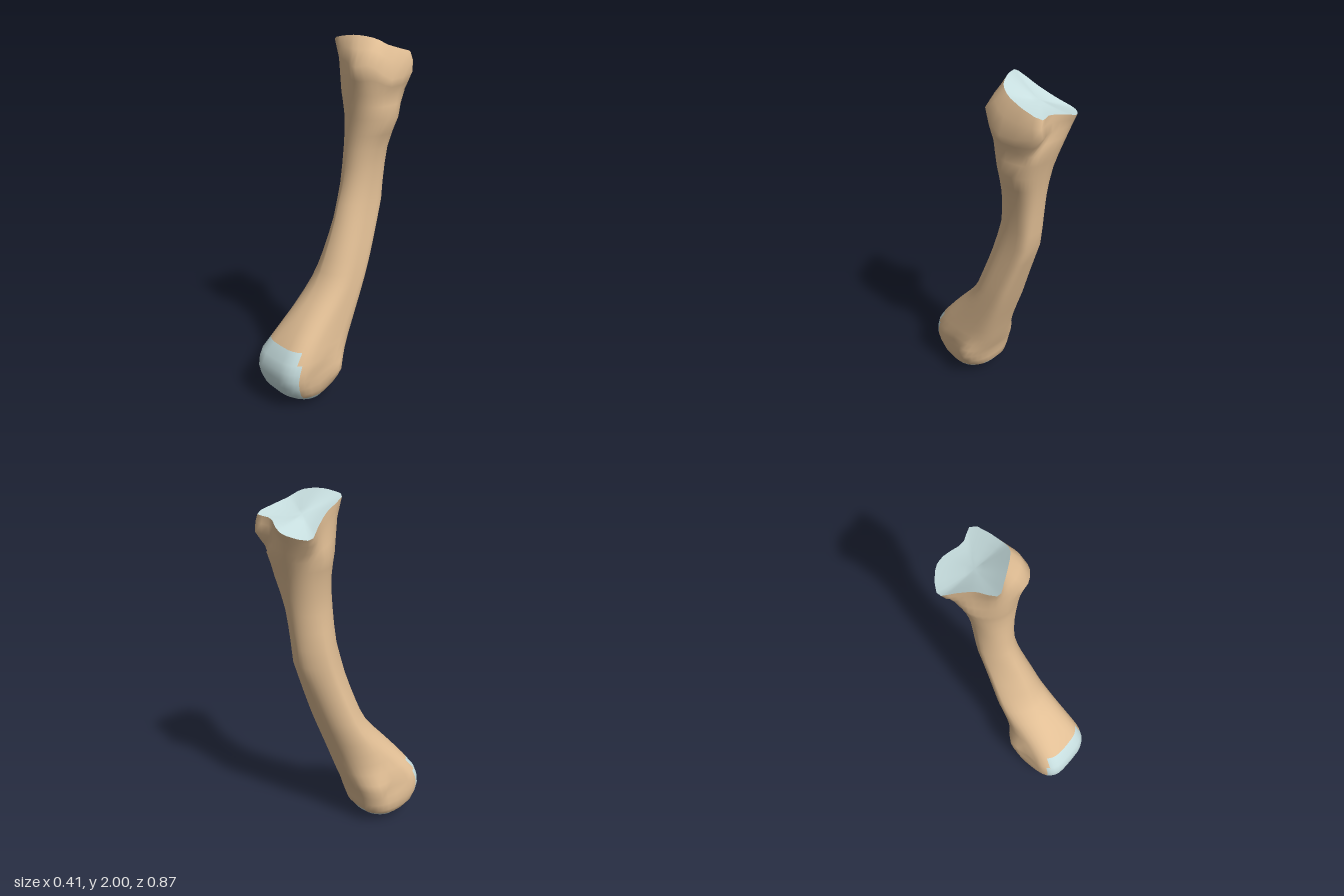
import * as THREE from 'three';

const COLS = 32;

// Shaft stations: y, xMin, xMax, zMin, zMax,
// then corner squareness at +x+z, -x+z, -x-z, +x-z
const STATIONS = [
  [0.012, -0.10, 0.06, 0.14, 0.28, 2.0, 2.0, 1.8, 1.8],
  [0.03, -0.15, 0.10, 0.11, 0.33, 2.1, 2.3, 1.9, 1.9],
  [0.06, -0.18, 0.125, 0.08, 0.37, 2.3, 2.7, 2.1, 2.1],
  [0.10, -0.20, 0.145, 0.05, 0.405, 2.8, 3.3, 2.6, 2.6],
  [0.20, -0.21, 0.165, 0.03, 0.437, 3.2, 3.9, 3.0, 3.0],
  [0.30, -0.20, 0.168, -0.01, 0.417, 3.2, 3.8, 2.6, 3.2],
  [0.37, -0.18, 0.16, -0.035, 0.37, 3.2, 3.2, 2.2, 3.4],
  [0.50, -0.16, 0.15, -0.08, 0.265, 2.6, 2.1, 2.0, 4.0],
  [0.66, -0.145, 0.14, -0.14, 0.13, 2.3, 1.6, 1.9, 4.5],
  [0.80, -0.13, 0.13, -0.19, 0.065, 2.2, 1.4, 1.8, 5.0],
  [1.00, -0.11, 0.11, -0.26, -0.01, 2.2, 1.4, 1.7, 5.0],
  [1.10, -0.105, 0.102, -0.295, -0.04, 2.2, 1.5, 1.6, 4.5],
  [1.20, -0.10, 0.10, -0.307, -0.07, 2.2, 1.7, 1.6, 4.0],
  [1.40, -0.085, 0.12, -0.33, -0.09, 2.2, 2.1, 1.9, 3.0],
  [1.57, -0.10, 0.17, -0.36, -0.092, 2.2, 2.0, 2.2, 3.2],
  [1.70, -0.13, 0.178, -0.395, -0.075, 2.5, 1.8, 2.5, 4.0],
];
const HEIGHTS = [0.012, 0.03, 0.06, 0.1, 0.15, 0.2, 0.25, 0.3, 0.365, 0.43, 0.5, 0.58, 0.66, 0.73,
  0.8, 0.9, 1, 1.1, 1.2, 1.3, 1.4, 1.48, 1.57, 1.64, 1.7];

// Base flare and joint rim, counted from +x round through +z
const FLARE = [[0.205, 1.78, -0.22], [0.17, 1.86, -0.09], [0.10, 1.85, -0.047], [0.02, 1.87, -0.065],
  [-0.055, 1.88, -0.085], [-0.095, 1.83, -0.17], [-0.135, 1.80, -0.25], [-0.168, 1.79, -0.32],
  [-0.09, 1.79, -0.40], [-0.03, 1.80, -0.405], [0.06, 1.80, -0.395], [0.155, 1.81, -0.432]];
const RIM = [[0.155, 1.95, -0.24], [0.13, 1.985, -0.17], [0.05, 2.0, -0.115], [-0.01, 1.995, -0.085],
  [-0.065, 1.98, -0.065], [-0.10, 1.92, -0.18], [-0.145, 1.87, -0.26], [-0.187, 1.83, -0.33],
  [-0.10, 1.85, -0.42], [-0.04, 1.87, -0.425], [0.06, 1.89, -0.395], [0.145, 1.90, -0.42]];

// Bumps and hollows on the sides: x side, y, z, spread, height
const BUMPS = [
  [1, 0.20, 0.10, 0.07, 0.038], [-1, 0.27, 0.10, 0.06, 0.015],
  [1, 0.22, 0.21, 0.06, -0.018], [-1, 0.24, 0.21, 0.06, -0.02],
  [1, 1.57, -0.26, 0.07, 0.015], [1, 1.66, -0.32, 0.05, -0.015],
];

// Smooth interpolation of the stations at height y
function stationAt(y) {
  let i = 0;
  while (i < STATIONS.length - 2 && STATIONS[i + 1][0] < y) i++;
  const s = (k) => STATIONS[THREE.MathUtils.clamp(k, 0, STATIONS.length - 1)];
  const [p, a, b, n] = [s(i - 1), s(i), s(i + 1), s(i + 2)];
  const h = b[0] - a[0], t = (y - a[0]) / h;
  return a.map((v, k) => {
    const m0 = (b[k] - p[k]) / (b[0] - p[0]) * h, m1 = (n[k] - v) / (n[0] - a[0]) * h;
    const t2 = t * t, t3 = t2 * t;
    return (2 * t3 - 3 * t2 + 1) * v + (t3 - 2 * t2 + t) * m0 + (3 * t2 - 2 * t3) * b[k] + (t3 - t2) * m1;
  });
}

function shaftRing(y) {
  const [, x0, x1, z0, z1, ...corners] = stationAt(y);
  return Array.from({ length: COLS }, (_, j) => {
    const a = j / COLS * Math.PI * 2, c = Math.cos(a), s = Math.sin(a);
    const e = 2 / corners[Math.floor(j / COLS * 4)];
    let x = (x0 + x1) / 2 + (x1 - x0) / 2 * Math.sign(c) * Math.abs(c) ** e;
    const z = (z0 + z1) / 2 + (z1 - z0) / 2 * Math.sign(s) * Math.abs(s) ** e;
    for (const [side, by, bz, r, h] of BUMPS) {
      const facing = Math.max(0, side * c);
      x += side * h * Math.sqrt(facing) * Math.exp(-((y - by) ** 2 + (z - bz) ** 2) / (r * r));
    }
    return new THREE.Vector3(x, y, z);
  });
}

function splineRing(points) {
  const curve = new THREE.CatmullRomCurve3(points.map((p) => new THREE.Vector3(...p)), true);
  return Array.from({ length: COLS }, (_, j) => curve.getPoint(j / COLS));
}

// Ring part of the way between two others, pushed out towards +x
function blendRing(a, b, t, bulge) {
  return a.map((p, j) => {
    const v = p.clone().lerp(b[j], t);
    v.x += bulge * Math.max(0, Math.cos(j / COLS * Math.PI * 2));
    return v;
  });
}

function makeGeometry(points, index) {
  const g = new THREE.BufferGeometry().setFromPoints(points);
  g.setIndex(index);
  g.computeVertexNormals();
  return g;
}

function addMesh(group, name, geometry, material) {
  const mesh = new THREE.Mesh(geometry, material);
  mesh.name = name;
  group.add(mesh);
}

export function createModel() {
  const group = new THREE.Group();
  group.name = 'footBone';
  const bone = new THREE.MeshStandardMaterial({ color: 0xe3c096 });
  const cartilage = new THREE.MeshStandardMaterial({ color: 0xc8dfe0 });

  // Bone body, lofted from the rounded head up to the joint rim
  const flare = splineRing(FLARE), rim = splineRing(RIM);
  const rings = HEIGHTS.map(shaftRing);
  rings.push(blendRing(rings[rings.length - 1], flare, 0.5, 0.006));
  rings.push(flare, blendRing(flare, rim, 0.55, 0.012), rim);
  const points = rings.flat();
  const pole = points.push(new THREE.Vector3(-0.01, 0, 0.21)) - 1;

  const boneFaces = [], headFaces = [];
  for (let j = 0; j < COLS; j++) {
    const k = (j + 1) % COLS;
    headFaces.push(pole, j, k);
    for (let i = 0; i < rings.length - 1; i++) {
      const a = i * COLS + j, b = i * COLS + k, c = a + COLS, d = b + COLS;
      // Cartilage wraps the underside and the front face of the head
      const inset = i < 7 ? 3 : 4;
      const onFront = j >= inset && j < 16 - inset && i < 8;
      const onBack = j >= 22 && j < 26 && i < 3;
      (i < 2 || onFront || onBack ? headFaces : boneFaces).push(a, c, b, b, c, d);
    }
  }
  const body = makeGeometry(points, [...boneFaces, ...headFaces]);
  const head = body.clone();
  body.setIndex(boneFaces);
  head.setIndex(headFaces);
  addMesh(group, 'boneShaft', body, bone);
  addMesh(group, 'headCartilage', head, cartilage);

  // Dished joint surface at the base
  const centre = new THREE.Vector3(-0.01, 1.905, -0.26);
  const dish = [1, 0.75, 0.5, 0.25].map((r) => rim.map((p) => {
    const v = centre.clone().lerp(p, r);
    v.y -= 0.02 * r * (1 - r);
    return v;
  }));
  const top = dish.flat();
  const hub = top.push(centre) - 1;
  const topFaces = [];
  for (let j = 0; j < COLS; j++) {
    const k = (j + 1) % COLS;
    for (let i = 0; i < dish.length - 1; i++) {
      const a = i * COLS + j, b = i * COLS + k;
      topFaces.push(a, a + COLS, b, b, a + COLS, b + COLS);
    }
    const last = (dish.length - 1) * COLS;
    topFaces.push(hub, last + k, last + j);
  }
  addMesh(group, 'baseCartilage', makeGeometry(top, topFaces), cartilage);

  return group;
}
